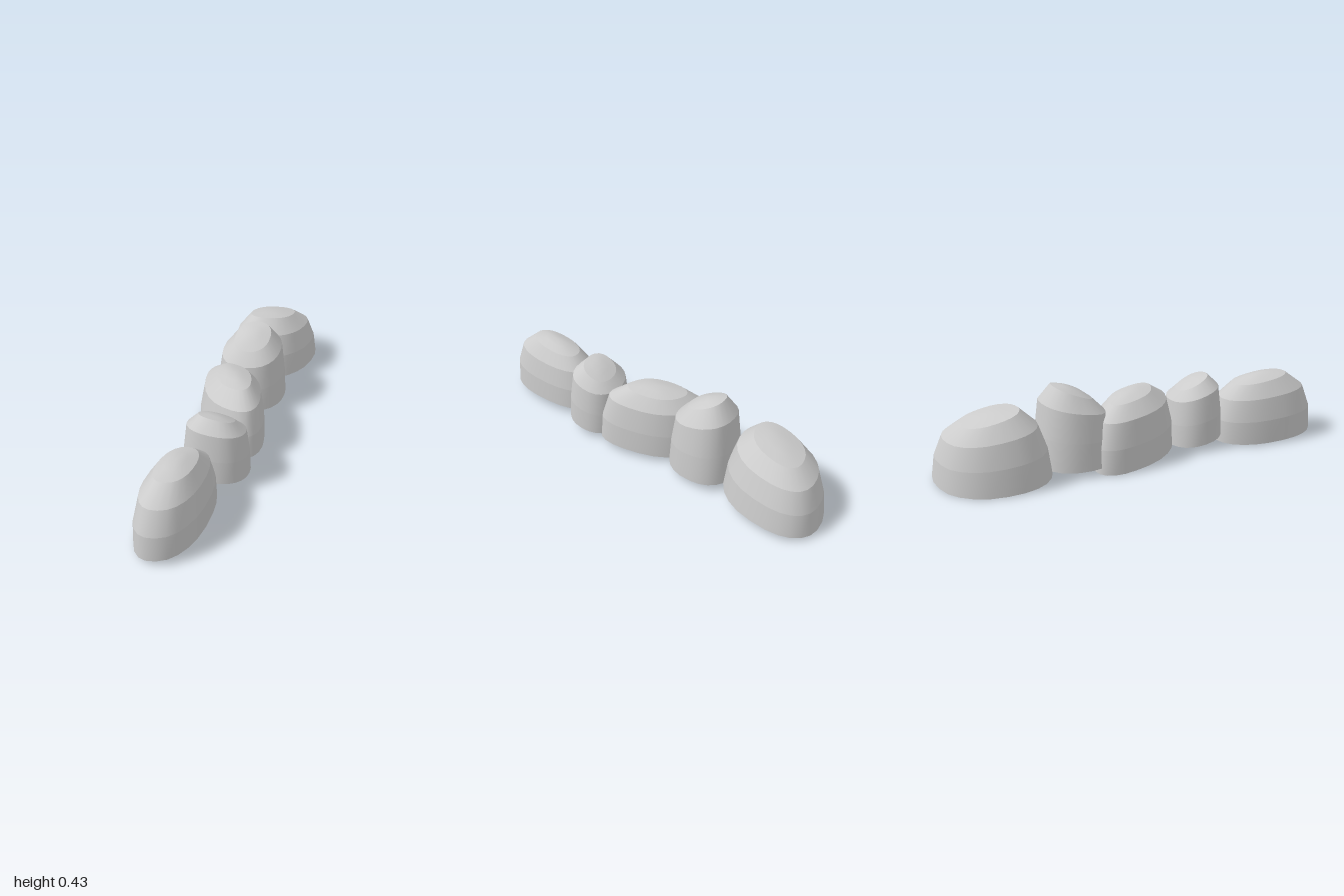
import * as THREE from 'three';

const SEGMENTS = 24;
const ROUNDNESS = 0.88; // below 1 fills out the corners of the ovals
const material = new THREE.MeshStandardMaterial({ color: 0xcccccc, side: THREE.DoubleSide });

// foot: centre x, z, half extents x, z and skew of the oval footprint
// base: height and slopes along x, z of the lower edge
// cap: centre x, y, z, size relative to the footprint, slopes along x, z, dome height
// waist, shoulder: inset and height as fractions of the way from footprint to cap
const STONES = [
  { name: 'backStone', foot: [0.02, -0.735, 0.23, 0.267, -0.28], base: [0.02, 0.08, 0.06],
    cap: [0.01, 0.325, -0.735, 0.5, 0, 0.24, 0.015], waist: [0.13, 0.41], shoulder: [0.42, 0.77] },
  { name: 'tallStone', foot: [-0.012, -0.33, 0.178, 0.182, -0.13], base: [0.035, 0, 0],
    cap: [-0.01, 0.39, -0.33, 0.52, 0, -0.42, 0.022], waist: [0.1, 0.4], shoulder: [0.32, 0.8] },
  { name: 'middleStone', foot: [-0.037, -0.012, 0.193, 0.257, 0.5], base: [0.02, 0.06, 0.03],
    cap: [-0.03, 0.33, -0.025, 0.52, 0, 0.1, 0.02], waist: [0.06, 0.4], shoulder: [0.32, 0.8] },
  { name: 'smallStone', foot: [-0.015, 0.343, 0.16, 0.145, 0], base: [0.04, 0, 0.14],
    cap: [-0.015, 0.335, 0.335, 0.53, -0.15, 0.48, 0.015], waist: [0.06, 0.4], shoulder: [0.28, 0.83] },
  { name: 'frontStone', foot: [-0.098, 0.718, 0.153, 0.282, -0.17], base: [0.025, 0.1, 0.02],
    cap: [-0.092, 0.325, 0.7, 0.53, 0, 0.12, 0.025], waist: [0.06, 0.4], shoulder: [0.36, 0.77] },
];

// Closed strip between each pair of neighbouring rings
function stripIndex() {
  const index = [];
  for (let a = 0; a < SEGMENTS; a++) {
    const b = (a + 1) % SEGMENTS;
    index.push(a, a + SEGMENTS, b, b, a + SEGMENTS, b + SEGMENTS);
  }
  return index;
}

function meshFrom(name, points, index) {
  const geometry = new THREE.BufferGeometry().setFromPoints(points);
  geometry.setIndex(index);
  geometry.computeVertexNormals();
  const mesh = new THREE.Mesh(geometry, material);
  mesh.name = name;
  return mesh;
}

// Wall between two rings, smooth around and creased at its rims
function band(name, lower, upper) {
  return meshFrom(name, [...lower, ...upper], stripIndex());
}

// Gently domed lid over the top ring
function lid(name, rim, peak, dome) {
  const inner = rim.map(p => p.clone().lerp(peak, 0.5).setY((p.y + peak.y) / 2 + dome / 4));
  const index = stripIndex();
  for (let i = 0; i < SEGMENTS; i++) {
    index.push(2 * SEGMENTS, SEGMENTS + (i + 1) % SEGMENTS, SEGMENTS + i);
  }
  return meshFrom(name, [...rim, ...inner, peak], index);
}

const rounded = v => Math.sign(v) * Math.abs(v) ** ROUNDNESS;

function createStone({ name, foot, base, cap, waist, shoulder }) {
  const [fx, fz, halfX, halfZ, skew] = foot;
  const [baseY, baseSlopeX, baseSlopeZ] = base;
  const [cx, cy, cz, scale, slopeX, slopeZ, dome] = cap;

  // Lower edge and the smaller, tilted rim of the cap
  const edge = [], rim = [];
  for (let i = 0; i < SEGMENTS; i++) {
    const t = i / SEGMENTS * Math.PI * 2;
    const dx = halfX * rounded(Math.cos(t)), dz = halfZ * rounded(Math.sin(t + skew));
    const y = Math.max(0, baseY + baseSlopeX * dx + baseSlopeZ * dz);
    edge.push(new THREE.Vector3(fx + dx, y, fz + dz));
    rim.push(new THREE.Vector3(cx + scale * dx, cy + scale * (slopeX * dx + slopeZ * dz), cz + scale * dz));
  }

  const ringAt = ([inset, height]) => edge.map((p, i) =>
    p.clone().lerp(rim[i], inset).setY(THREE.MathUtils.lerp(p.y, rim[i].y, height)));
  const middle = ringAt(waist);
  const upper = ringAt(shoulder);

  const stone = new THREE.Group();
  stone.name = name;
  stone.add(
    band('lowerSide', edge, middle),
    band('upperSide', middle, upper),
    band('shoulder', upper, rim),
    lid('cap', rim, new THREE.Vector3(cx, cy + dome, cz), dome));
  return stone;
}

export function createModel() {
  const model = new THREE.Group();
  model.name = 'stoneRow';
  STONES.forEach(stone => model.add(createStone(stone)));
  return model;
}
